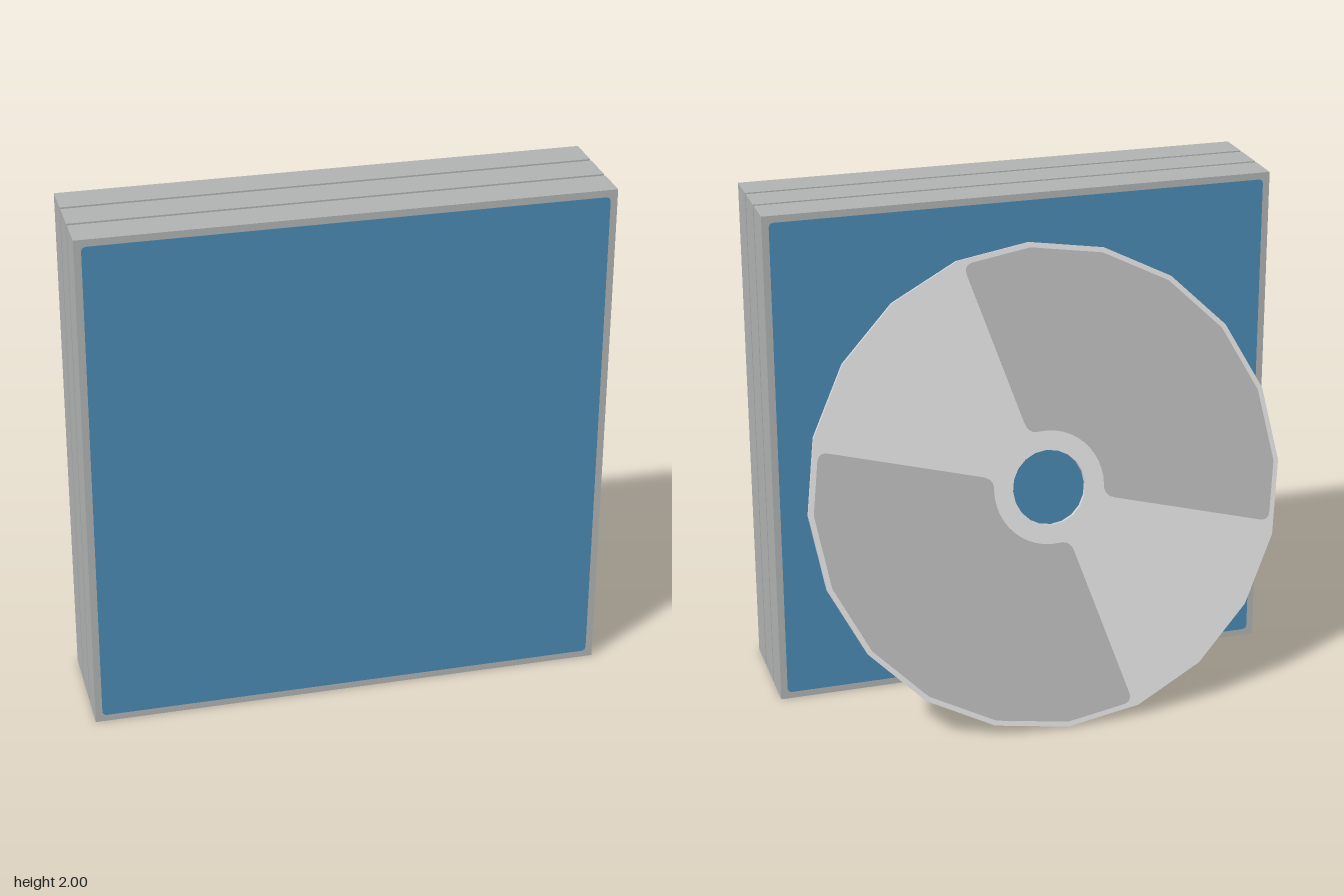
import * as THREE from 'three';

const SIDES = 20, STEP = Math.PI * 2 / SIDES;
const rad = THREE.MathUtils.degToRad;
const polar = (r, a) => new THREE.Vector2(r * Math.cos(a), r * Math.sin(a));
const ring = r => Array.from({ length: SIDES }, (_, i) => polar(r, i * STEP));

// Extrusion centred on z = 0
function slab(shape, depth, material, name) {
  const geo = new THREE.ExtrudeGeometry(shape, { depth, bevelEnabled: false, curveSegments: 5 });
  geo.translate(0, 0, -depth / 2);
  const mesh = new THREE.Mesh(geo, material);
  mesh.name = name;
  return mesh;
}

function roundedSquare(h, r) {
  const s = new THREE.Shape();
  s.moveTo(-h + r, -h);
  s.lineTo(h - r, -h);
  s.quadraticCurveTo(h, -h, h, -h + r);
  s.lineTo(h, h - r);
  s.quadraticCurveTo(h, h, h - r, h);
  s.lineTo(-h + r, h);
  s.quadraticCurveTo(-h, h, -h, h - r);
  s.lineTo(-h, -h + r);
  s.quadraticCurveTo(-h, -h, -h + r, -h);
  return s;
}

// Ring sector with rounded corners; its outer edge follows the faceted rim
function sector(inner, outer, a0, a1) {
  const rim = a => {
    const local = a - Math.floor(a / STEP) * STEP - STEP / 2;
    return polar(outer * Math.cos(STEP / 2) / Math.cos(local), a);
  };
  const s = new THREE.Shape();
  const corner = (c, e) => s.quadraticCurveTo(c.x, c.y, e.x, e.y);
  const line = p => s.lineTo(p.x, p.y);
  const co = rad(2.5), ci = rad(12);
  const start = polar(inner + 0.05, a0);
  s.moveTo(start.x, start.y);
  line(polar(outer - 0.045, a0));
  corner(rim(a0), rim(a0 + co));
  for (let k = Math.ceil((a0 + co) / STEP); k * STEP < a1 - co; k++) line(polar(outer, k * STEP));
  line(rim(a1 - co));
  corner(rim(a1), polar(outer - 0.045, a1));
  line(polar(inner + 0.05, a1));
  corner(polar(inner, a1), polar(inner, a1 - ci));
  for (let i = 1; i <= 12; i++) line(polar(inner, a1 - ci + (a0 - a1 + 2 * ci) * i / 12));
  corner(polar(inner, a0), start);
  return s;
}

export function createModel() {
  const mat = (name, color) => Object.assign(new THREE.MeshStandardMaterial({ color }), { name });
  const casePlastic = mat('caseGrey', 0xb0b2b1);
  const cover = mat('coverBlue', 0x4b8ab2);
  const silver = mat('discSilver', 0xd8d8d8);
  const sheen = mat('discGrey', 0xb0b2b1);
  const model = new THREE.Group();
  model.name = 'discCases';

  // Three upright cases, each with a blue cover on both sides
  const depth = 0.14;
  for (let i = 0; i < 3; i++) {
    const box = new THREE.Group();
    box.name = `case${i + 1}`;
    const shell = new THREE.Mesh(new THREE.BoxGeometry(2, 2, depth), casePlastic);
    shell.name = 'caseShell';
    box.add(shell, slab(roundedSquare(0.973, 0.02), depth + 0.003, cover, 'coverPanels'));
    box.position.set(0, 1, 0.12 + i * 0.155);
    model.add(box);
  }

  // Disc leaning against the rear case
  const disc = new THREE.Group();
  disc.name = 'disc';
  const plate = new THREE.Shape(ring(0.942));
  plate.holes.push(new THREE.Path(ring(0.145).reverse()));
  disc.add(slab(plate, 0.02, silver, 'discPlate'));
  // Darker sheen sectors, showing on both faces
  for (const start of [73, 253]) {
    disc.add(slab(sector(0.22, 0.922, rad(start), rad(start + 122)), 0.023, sheen, 'sheenSector'));
  }
  disc.rotation.x = rad(15.9);
  disc.position.set(-0.02, 0.909, -0.232);
  model.add(disc);

  return model;
}
